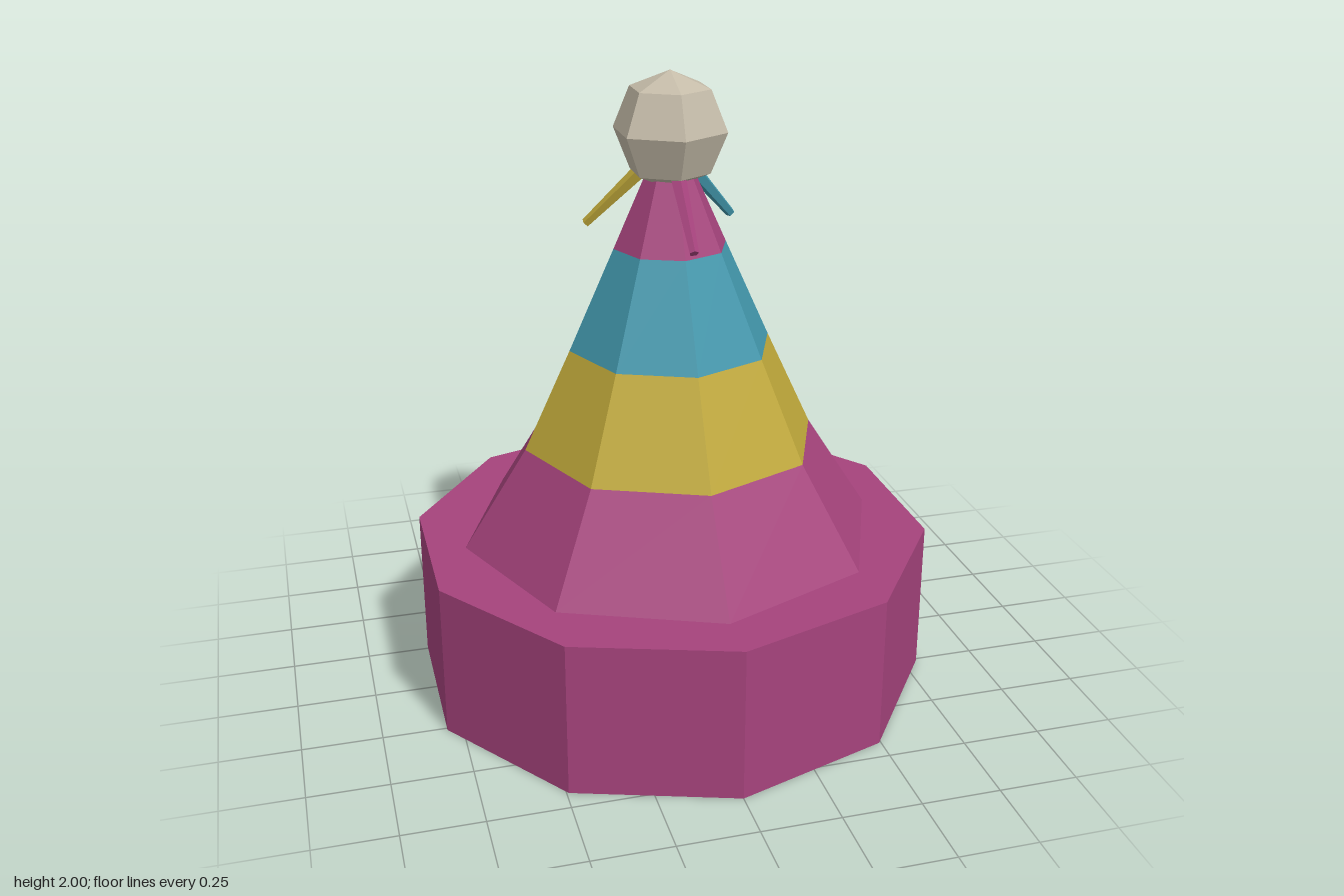
import * as THREE from 'three';

const flat = (name, color) => {
  const m = new THREE.MeshStandardMaterial({ color, flatShading: true });
  m.name = name;
  return m;
};

export function createModel() {
  const model = new THREE.Group();
  model.name = 'bobbleHat';

  const pink = flat('pink wool', 0xa5437c);
  const teal = flat('teal wool', 0x4297ac);
  const yellow = flat('yellow wool', 0xbfa83a);
  const cream = flat('cream wool', 0xc4bba8);

  const add = (parent, name, geometry, material, y = 0) => {
    const mesh = new THREE.Mesh(geometry, material);
    mesh.name = name;
    mesh.position.y = y;
    parent.add(mesh);
    return mesh;
  };

  // Ten-sided folded brim
  add(model, 'brim', new THREE.CylinderGeometry(0.84, 0.84, 0.5, 10), pink, 0.25);

  // Striped eight-sided crown: bottom y, top y, bottom radius, top radius
  const bands = [
    ['lowerBand', 0.5, 0.82, 0.68, 0.475, pink],
    ['yellowBand', 0.82, 1.14, 0.475, 0.325, yellow],
    ['tealBand', 1.14, 1.46, 0.325, 0.18, teal],
    ['upperBand', 1.46, 1.76, 0.18, 0.045, pink],
  ];
  for (const [name, y0, y1, r0, r1, material] of bands) {
    add(model, name, new THREE.CylinderGeometry(r1, r0, y1 - y0, 8, 1, true), material, (y0 + y1) / 2);
  }

  // Low-poly bobble with corners at the front and back
  const bobble = new THREE.SphereGeometry(0.18, 6, 4).rotateY(Math.PI / 2);
  add(model, 'bobble', bobble, cream, 1.82);

  // Three tapered tassels spread around the tip
  const start = new THREE.Vector3(0, 1.74, 0.04);
  const end = new THREE.Vector3(0, 1.51, 0.272);
  const along = start.clone().sub(end);
  [['frontTassel', pink], ['leftTassel', teal], ['rightTassel', yellow]].forEach(([name, material], i) => {
    const pivot = new THREE.Group();
    pivot.name = name;
    pivot.rotation.y = (i * Math.PI * 2) / 3;
    const strand = add(pivot, name + 'Strand',
      new THREE.CylinderGeometry(0.028, 0.015, along.length(), 5), material);
    strand.position.copy(start).add(end).multiplyScalar(0.5);
    strand.quaternion.setFromUnitVectors(new THREE.Vector3(0, 1, 0), along.clone().normalize());
    model.add(pivot);
  });

  return model;
}
